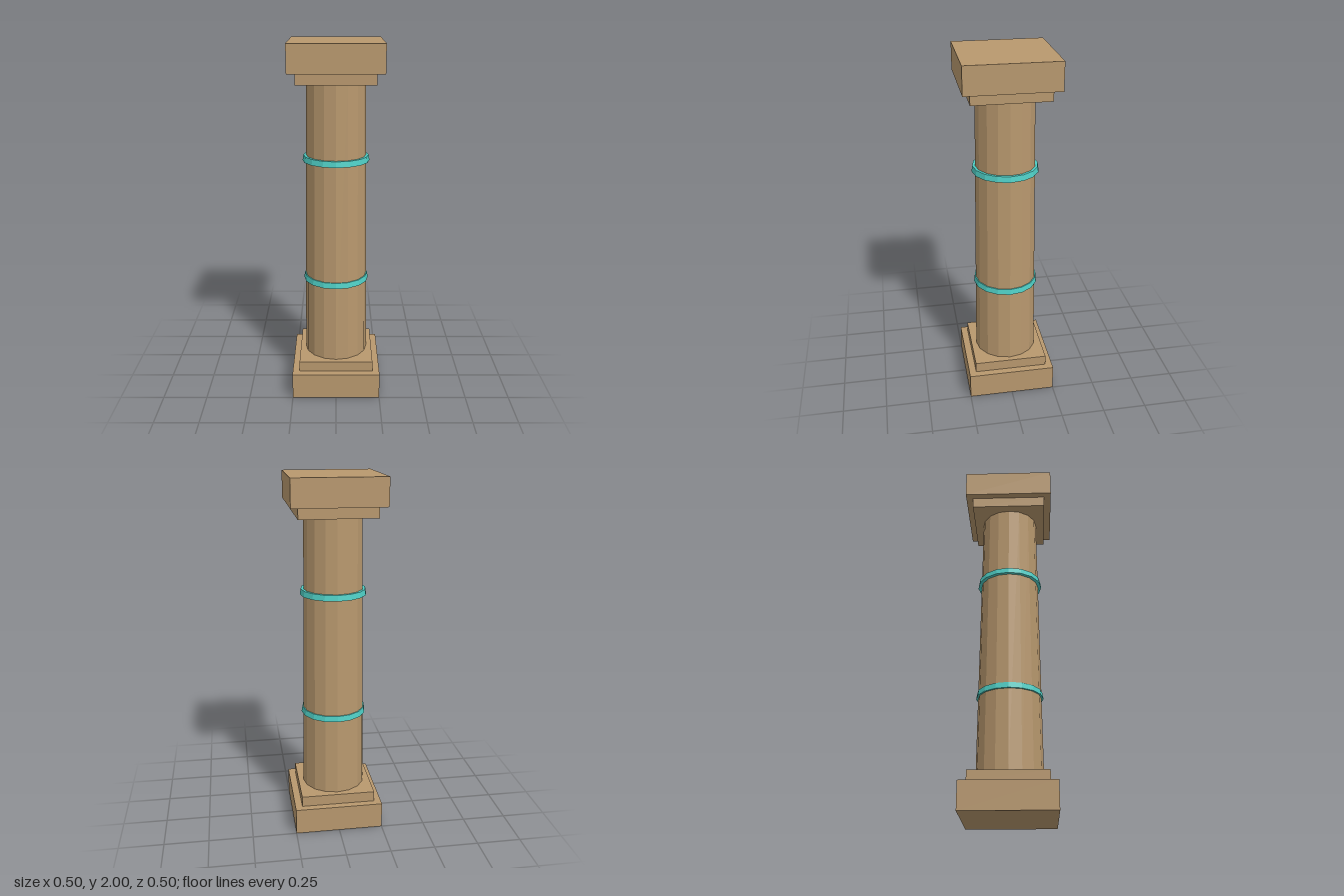
import * as THREE from 'three';

export function createModel() {
  const group = new THREE.Group();
  const sandstone = new THREE.MeshStandardMaterial({ color: 0xb8986e, flatShading: true });
  sandstone.name = 'sandstone';
  const turquoise = new THREE.MeshStandardMaterial({ color: 0x4ecdc4, flatShading: true });
  turquoise.name = 'turquoise';

  const add = (name, geometry, material, y) => {
    const mesh = new THREE.Mesh(geometry, material);
    mesh.name = name;
    mesh.position.y = y;
    group.add(mesh);
  };
  const slab = (name, width, height, y) =>
    add(name, new THREE.BoxGeometry(width, height, width), sandstone, y);

  // Stepped base and its mirror image at the top
  slab('basePlinth', 0.5, 0.15, 0.075);
  slab('baseStep', 0.42, 0.06, 0.18);
  slab('capitalStep', 0.42, 0.06, 1.82);
  slab('capitalSlab', 0.5, 0.15, 1.925);

  // Tapered sixteen-sided shaft
  add('shaft', new THREE.CylinderGeometry(0.16, 0.18, 1.58, 16), sandstone, 1);

  // Flared decorative bands
  [['lowerBand', 0.672], ['upperBand', 1.37]].forEach(([name, y]) =>
    add(name, new THREE.CylinderGeometry(0.18, 0.185, 0.032, 16), turquoise, y));

  return group;
}
